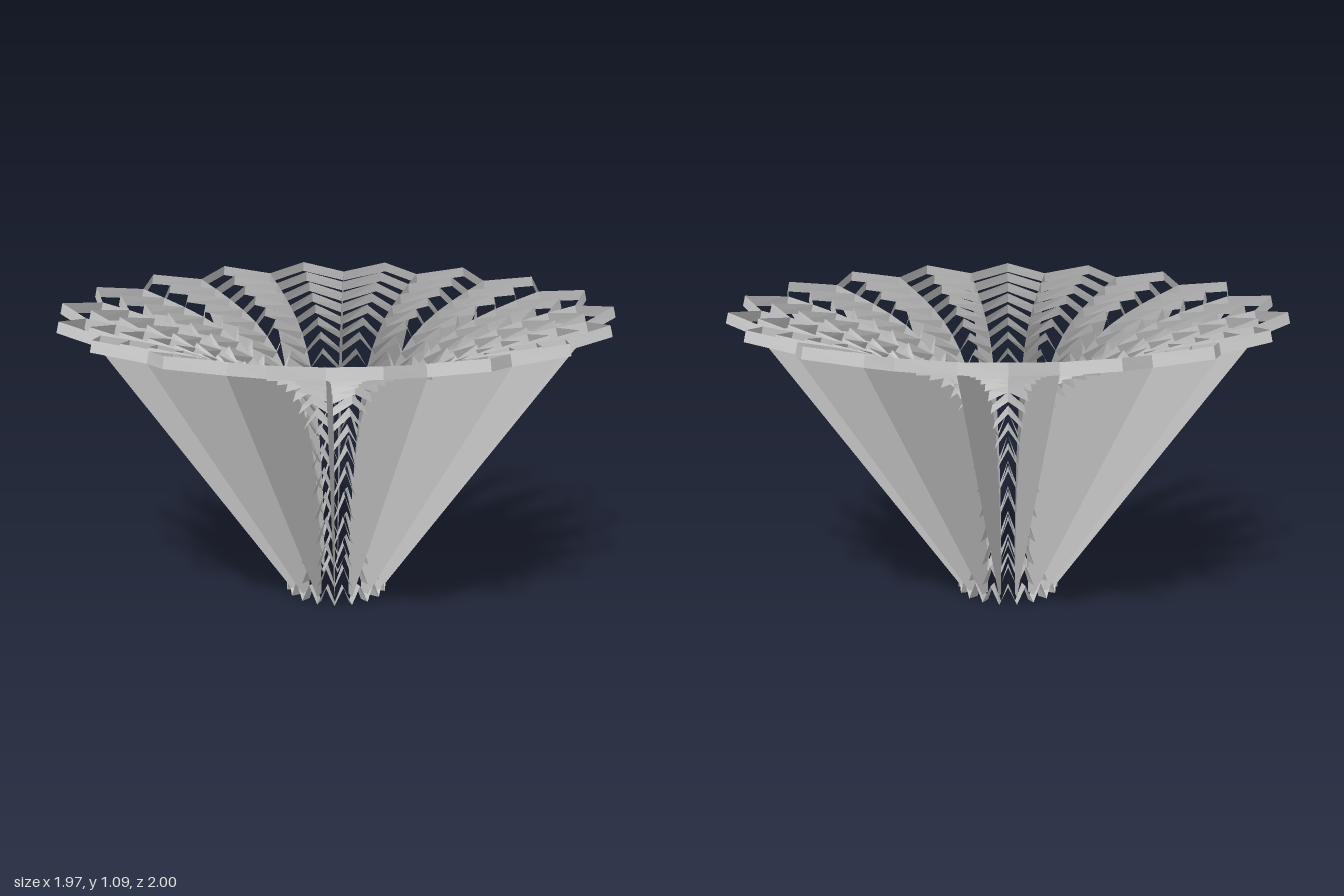
import * as THREE from 'three';

const POINTS = 18;   // zigzag points around each ring
const WIDTH = 0.04;  // ribbon width, measured across the flare

// Flare profile as radius and height, one point per ribbon step
const profile = [
  [0.148, 0], [0.148, 0.07], [0.151, 0.15], [0.158, 0.242], [0.169, 0.34], [0.185, 0.44],
  [0.208, 0.54], [0.237, 0.632], [0.272, 0.715], [0.315, 0.787], [0.368, 0.848], [0.432, 0.9],
  [0.507, 0.943], [0.592, 0.978], [0.685, 1.008], [0.784, 1.035], [0.887, 1.06], [0.99, 1.085],
];
const RINGS = profile.length - 1;
const flare = new THREE.SplineCurve(profile.map(([r, y]) => new THREE.Vector2(r, y)));

// Inner and outer edge of a ribbon at step k of the profile
function edges(k) {
  const t = k / RINGS;
  const p = flare.getPoint(t), d = flare.getTangent(t);
  const outer = new THREE.Vector2(p.x + d.y * WIDTH, Math.max(0, p.y - d.x * WIDTH));
  return [p, outer];
}

const place = (p, a) => [p.x * Math.sin(a), p.y, p.x * Math.cos(a)];

// Zigzag ribbon: valleys sit on step k, points reach to step k + 1
function zigzagGeometry(k) {
  const positions = [];
  const levels = [edges(k + 1), edges(k)];
  for (let i = 0; i < POINTS * 2; i++) {
    const a = (i * Math.PI) / POINTS, b = ((i + 1) * Math.PI) / POINTS;
    const [pi, po] = levels[i % 2], [qi, qo] = levels[(i + 1) % 2];
    const A = place(pi, a), B = place(po, a), C = place(qo, b), D = place(qi, b);
    positions.push(...A, ...B, ...C, ...A, ...C, ...D);
  }
  const g = new THREE.BufferGeometry();
  g.setAttribute('position', new THREE.Float32BufferAttribute(positions, 3));
  g.computeVertexNormals();
  return g;
}

// Flat fin between the flare and a straight outer edge, starting just above the foot
function finGeometry() {
  const outline = [edges(0.5)[0]];
  for (let k = 1; k < RINGS; k++) outline.push(edges(k)[0]);
  outline.push(edges(RINGS - 1)[1], edges(0.5)[1]);
  return new THREE.ShapeGeometry(new THREE.Shape(outline));
}

export function createModel() {
  const model = new THREE.Group();
  const material = new THREE.MeshStandardMaterial({
    color: 0xcccccc, flatShading: true, side: THREE.DoubleSide,
  });

  // Stacked zigzag ribbons
  const ribbons = new THREE.Group();
  ribbons.name = 'zigzagRibbons';
  for (let k = 0; k < RINGS; k++) {
    const ribbon = new THREE.Mesh(zigzagGeometry(k), material);
    ribbon.name = 'zigzagRibbon';
    ribbons.add(ribbon);
  }

  // Radial fins standing in the valleys
  const fins = new THREE.Group();
  fins.name = 'radialFins';
  const finShape = finGeometry();
  for (let i = 0; i < POINTS; i++) {
    const fin = new THREE.Mesh(finShape, material);
    fin.name = 'radialFin';
    fin.rotation.y = ((2 * i + 1) * Math.PI) / POINTS - Math.PI / 2;
    fins.add(fin);
  }

  model.add(ribbons, fins);
  return model;
}
